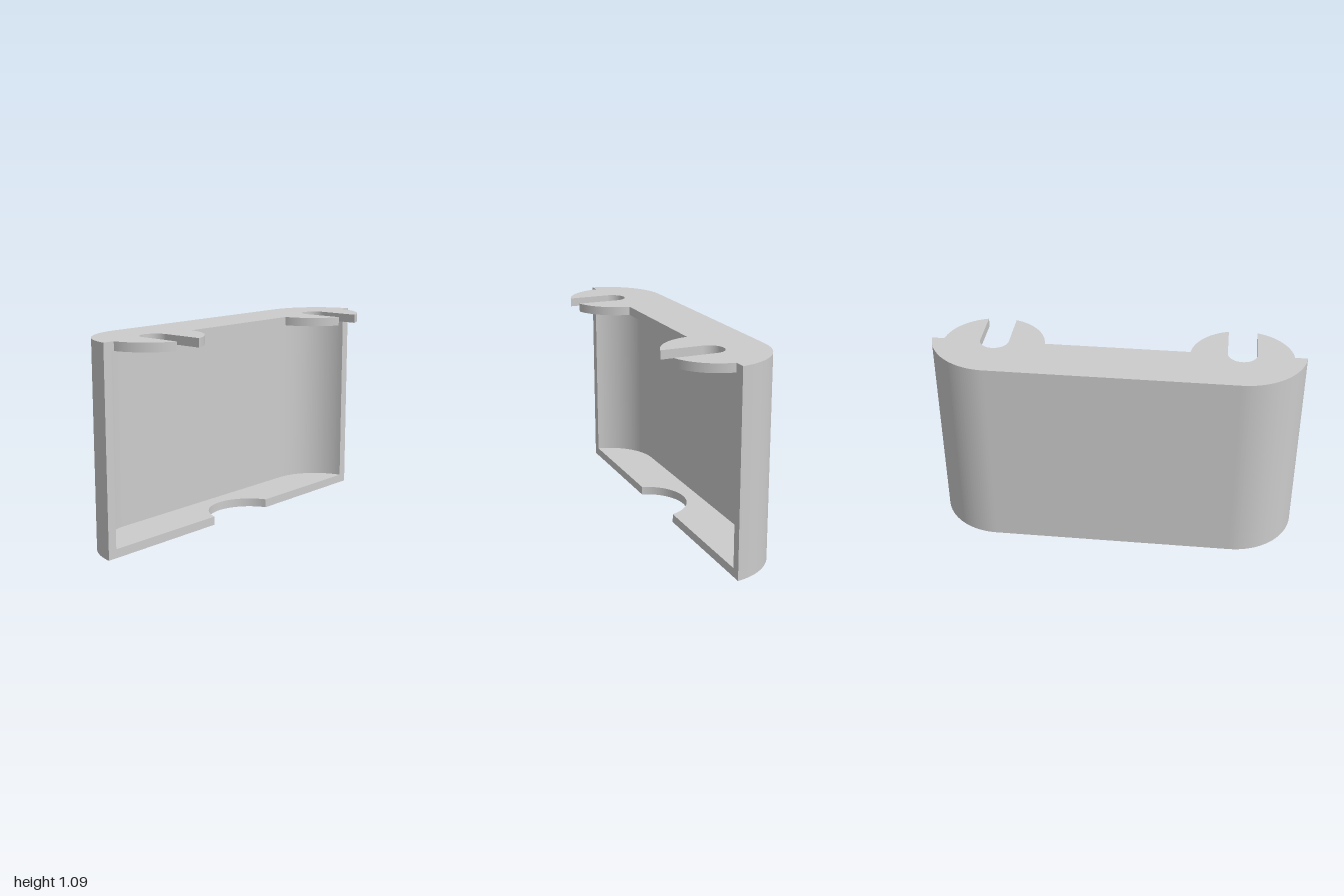
import * as THREE from 'three';

const HEIGHT = 1.09, PLATE = 0.047;    // overall height, plate thickness
const END_X = 0.66, END_Y = -0.075;    // centres of the rounded ends (shape y = -z)
const OUTER_R = 0.342, INNER_R = 0.292;
const FRONT = -0.03;                   // flat open front edge

// Rounded back outline, from the left (+x) front corner round to the right one
function addBack(path, r, reverse = false) {
  const a = Math.asin((FRONT - END_Y) / r);
  if (reverse) {
    path.absarc(-END_X, END_Y, r, Math.PI - a, Math.PI / 2, true);
    path.absarc(END_X, END_Y, r, Math.PI / 2, a, true);
  } else {
    path.absarc(END_X, END_Y, r, a, Math.PI / 2);
    path.absarc(-END_X, END_Y, r, Math.PI / 2, Math.PI - a);
  }
}

// Round hook tab with a keyhole slot open to the front
function addTab(path, cx) {
  const r = 0.274, s = 0.0775;
  const b = Math.asin(-FRONT / r), k = Math.asin(s / r);
  path.absarc(cx, 0, r, Math.PI + b, 1.5 * Math.PI - k);
  path.absarc(cx, -0.035, s, Math.PI, 0, true);
  path.absarc(cx, 0, r, 1.5 * Math.PI + k, 2 * Math.PI - b);
}

// Extrude a plan shape upwards from y0 to y1
function slab(name, shape, y0, y1, material) {
  const geo = new THREE.ExtrudeGeometry(shape, { depth: y1 - y0, bevelEnabled: false, curveSegments: 20 });
  geo.rotateX(-Math.PI / 2).translate(0, y0, 0);
  const mesh = new THREE.Mesh(geo, material);
  mesh.name = name;
  return mesh;
}

export function createModel() {
  const group = new THREE.Group();
  group.name = 'hookOnTray';
  const material = new THREE.MeshStandardMaterial({ color: 0xcccccc, flatShading: true });

  // Curved wall, open at the front
  const wall = new THREE.Shape();
  addBack(wall, OUTER_R);
  addBack(wall, INNER_R, true);
  wall.closePath();

  // Floor with a round finger notch in the front edge
  const floor = new THREE.Shape();
  addBack(floor, OUTER_R);
  const notchR = 0.23, drop = 0.067, e = Math.asin(drop / notchR);
  floor.absarc(0, FRONT - drop, notchR, Math.PI - e, e, true);
  floor.closePath();

  // Top plate with two slotted hook tabs
  const top = new THREE.Shape();
  addBack(top, OUTER_R);
  for (const side of [-1, 1]) addTab(top, side * END_X);
  top.closePath();

  group.add(
    slab('floor', floor, 0, PLATE, material),
    slab('wall', wall, PLATE, HEIGHT - PLATE, material),
    slab('topPlateWithHooks', top, HEIGHT - PLATE, HEIGHT, material),
  );
  return group;
}
